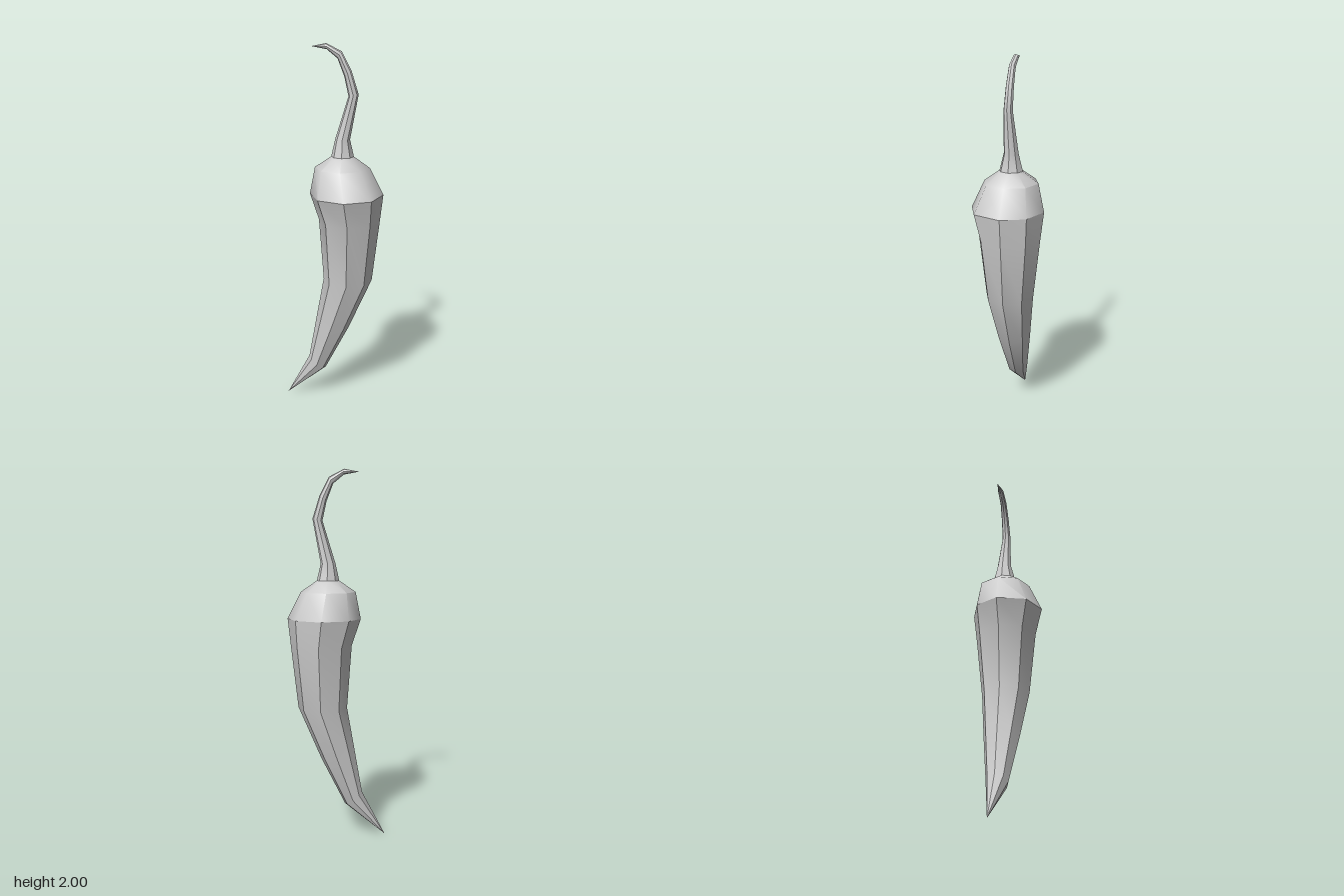
import * as THREE from 'three';
import { toCreasedNormals } from 'three/addons/utils/BufferGeometryUtils.js';

const SIDES = 8;
const AXIS_Z = -0.016;

// Ring: [leftX, leftY, rightX, rightY, depthRadius, zShift]; tilted octagon between two side points
function ringPoints([lx, ly, rx, ry, depth, shift = 0]) {
  const points = [];
  for (let i = 0; i < SIDES; i++) {
    const a = (i / SIDES) * Math.PI * 2;
    const c = Math.cos(a), s = Math.sin(a);
    const z = AXIS_Z + depth * s + (i % 4 ? shift : 0);
    points.push([(lx + rx) / 2 + (rx - lx) / 2 * c, (ly + ry) / 2 + (ry - ly) / 2 * c, z]);
  }
  return points;
}

// Skin a list of rings from bottom to top; rings of zero depth are points
function loft(name, rings, creaseAngle, material) {
  const pos = [];
  const loops = rings.map(ringPoints);
  for (let r = 0; r < rings.length - 1; r++) {
    for (let i = 0; i < SIDES; i++) {
      const j = (i + 1) % SIDES;
      const [a, b, c, d] = [loops[r][i], loops[r + 1][i], loops[r + 1][j], loops[r][j]];
      if (rings[r + 1][4] > 0) pos.push(...a, ...b, ...c);
      if (rings[r][4] > 0) pos.push(...a, ...c, ...d);
    }
  }
  const geometry = new THREE.BufferGeometry();
  geometry.setAttribute('position', new THREE.Float32BufferAttribute(pos, 3));
  const mesh = new THREE.Mesh(toCreasedNormals(geometry, creaseAngle), material);
  mesh.name = name;
  return mesh;
}

export function createModel() {
  const group = new THREE.Group();
  group.name = 'chiliPepper';
  const material = new THREE.MeshStandardMaterial({ color: 0xcccccc, side: THREE.DoubleSide });

  // Widest ring, shared by the pod and its shoulder
  const widest = [-0.128, 1.215, 0.268, 1.215, 0.198, 0.014];
  const neck = [-0.012, 1.42, 0.108, 1.42, 0.063];

  // Curved, tapering pod
  group.add(loft('pod', [
    [-0.268, 0, -0.268, 0, 0],
    [-0.14, 0.243, -0.045, 0.175, 0.058],
    [-0.095, 0.5, 0.087, 0.434, 0.097],
    [-0.055, 0.725, 0.213, 0.725, 0.132],
    [-0.08, 1.07, 0.252, 1.07, 0.17],
    widest,
  ], 0.6, material));

  // Rounded shoulder below the stem
  group.add(loft('shoulder', [
    widest,
    [-0.1, 1.36, 0.194, 1.36, 0.147],
    neck,
  ], 0.8, material));

  // Hooked stem
  group.add(loft('stem', [
    neck,
    [0.008, 1.51, 0.087, 1.51, 0.04],
    [0.077, 1.735, 0.13, 1.745, 0.024],
    [0.055, 1.835, 0.092, 1.865, 0.021],
    [0.02, 1.925, 0.042, 1.96, 0.018],
    [-0.035, 1.97, -0.037, 2, 0.016],
    [-0.115, 1.985, -0.115, 1.985, 0],
  ], 0.6, material));

  return group;
}
